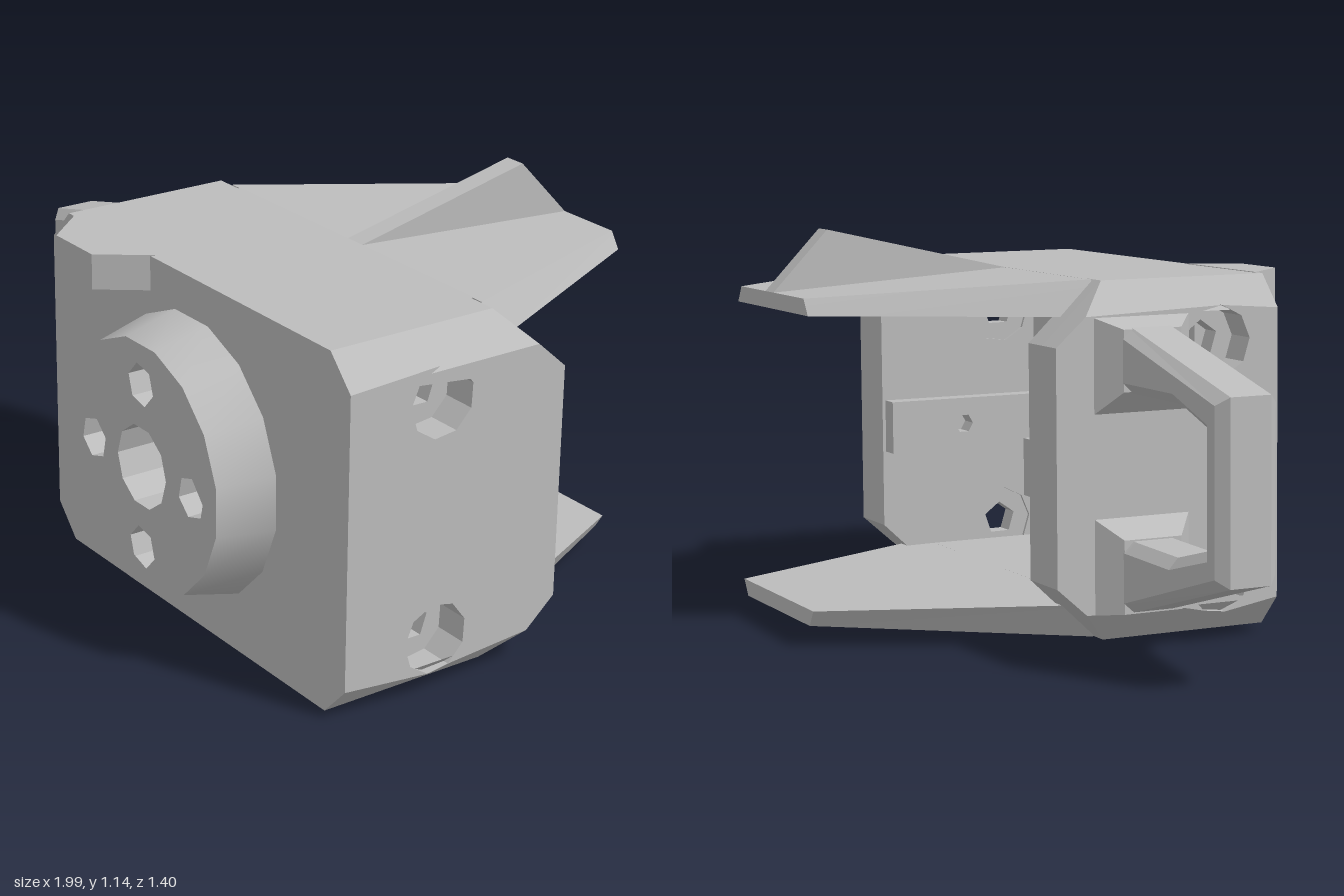
import * as THREE from 'three';
import { toCreasedNormals } from 'three/addons/utils/BufferGeometryUtils.js';

const CX = 0.29, CY = 0.519, TILT = 0.018;
// Convert upright coordinates to the slightly tilted body frame.
const local = (x, y) => [x - CX, y - CY + TILT * (x - CX)];

const shapeOf = (pts) => new THREE.Shape(pts.map(([x, y]) => new THREE.Vector2(x, y)));

function ngon(x, y, r, n, turn = 0) {
  return Array.from({ length: n }, (_, i) => {
    const a = turn + (i / n) * Math.PI * 2;
    return [x + r * Math.cos(a), y + r * Math.sin(a)];
  });
}

function extrude(pts, depth, holes = [], options = {}) {
  const shape = shapeOf(pts);
  shape.holes = holes.map(shapeOf);
  return new THREE.ExtrudeGeometry(shape, { depth, bevelEnabled: false, ...options });
}

// Move every vertex by a rule, then refresh the normals.
function reshape(geometry, rule) {
  const p = geometry.attributes.position;
  for (let i = 0; i < p.count; i++) p.setXYZ(i, ...rule(p.getX(i), p.getY(i), p.getZ(i)));
  geometry.computeVertexNormals();
  return geometry;
}

// Six-sided block; the rule receives the sign of each corner.
const block = (rule) => reshape(new THREE.BoxGeometry(2, 2, 2), rule);

export function createModel() {
  const metal = new THREE.MeshStandardMaterial({ color: 0xbcbcbc });
  metal.name = 'grey metal';
  const model = new THREE.Group();
  model.name = 'motorBracket';
  const body = new THREE.Group();
  body.name = 'body';
  body.position.set(CX, CY, 0);
  body.rotation.z = -TILT;
  model.add(body);

  const add = (name, geometry) => {
    const mesh = new THREE.Mesh(geometry, metal);
    mesh.name = name;
    body.add(mesh);
    return mesh;
  };

  // Shaft hole and four bolt holes shared by front wall and boss
  const mountHoles = () => [
    ngon(0, 0, 0.117, 10),
    ...[0, 1, 2, 3].map((i) => {
      const a = (i * Math.PI) / 2;
      return ngon(0.235 * Math.cos(a), 0.235 * Math.sin(a), 0.06, 6, a + 0.3);
    }),
  ];

  // Front wall
  add('frontWall', extrude([[-0.525, -0.5], [0.525, -0.5], [0.525, 0.5], [-0.525, 0.5]], 0.17, mountHoles()))
    .position.z = 0.37;

  // Tapered round boss
  const boss = reshape(extrude(ngon(0, 0, 0.395, 16, 0.2), 0.16, mountHoles()), (x, y, z) => {
    const s = z > 0.1 && Math.hypot(x, y) > 0.34 ? 0.9 : 1;
    return [x * s, y * s, z];
  });
  add('frontBoss', toCreasedNormals(boss, 0.6)).position.z = 0.54;

  // Side walls: chamfered outside, with two recessed bolt holes each
  for (const side of [1, -1]) {
    const label = side > 0 ? 'left' : 'right';
    const holeZ = side > 0 ? 0.25 : 0.35;
    const holes = (r, n) => [-0.34, 0.325].map((y) => ngon(-holeZ, y, r, n, 0.3));
    const outline = [[-0.54, -0.5], [-0.03, -0.5], [0.15, -0.33], [0.15, 0.33], [-0.03, 0.5], [-0.54, 0.5]];
    const wall = extrude(outline, 0.17, holes(0.1, 9), { steps: 2 });
    reshape(wall, (x, y, z) => {
      const outer = side > 0 ? z > 0.16 : z < 0.01;
      if (!outer || Math.abs(y) < 0.45) return [x, y, z];
      return [x > -0.1 ? 0.06 : x, Math.sign(y) * 0.41, z];
    });
    wall.rotateY(Math.PI / 2);
    add(label + 'SideWall', wall).position.x = side > 0 ? 0.525 : -0.695;

    // Washer-like seat at the bottom of each bolt hole
    holes(0.105, 9).forEach((ring, i) => {
      const seat = extrude(ring, 0.06, [holes(0.052, 5)[i]]);
      seat.rotateY(Math.PI / 2);
      add(label + 'BoltSeat', seat).position.x = side > 0 ? 0.535 : -0.595;
    });

    // Horizontal inner rail with a small hole
    const rail = extrude([[-0.38, -0.1], [0.14, -0.1], [0.14, 0.06], [-0.38, 0.06]], 0.06, [ngon(-0.1, -0.02, 0.03, 6)]);
    rail.rotateY(Math.PI / 2);
    add(label + 'InnerRail', rail).position.x = side > 0 ? 0.467 : -0.527;
  }

  // Top and bottom plates, each with a tapering tail
  for (const dir of [1, -1]) {
    const label = dir > 0 ? 'top' : 'bottom';
    add(label + 'Plate', new THREE.BoxGeometry(1.05, 0.1, 0.36)).position.set(0, dir * 0.45, 0.2);
    add(label + 'Tail', block((sx, sy, sz) => {
      const outer = sy * dir > 0;
      if (sz > 0) return [sx * (outer ? 0.56 : 0.615), dir * (outer ? 0.5 : 0.4), 0.025];
      return [sx * (outer ? 0.25 : 0.28), dir * (outer ? 0.456 : 0.41), -0.7];
    }));
  }

  // Triangular fin on the top tail
  const fin = extrude([[-0.02, 0.49], [0.7, 0.42], [0.7, 0.456], [0.535, 0.628], [-0.02, 0.5]], 0.065);
  fin.rotateY(Math.PI / 2);
  add('topFin', fin).position.x = -0.015;

  // Tab overhanging the front at the top
  const tab = extrude([[-0.59, -0.5], [-0.47, -0.66], [-0.29, -0.66], [-0.19, -0.5]].map(([x, z]) => [x, -z]).reverse(), 0.1);
  tab.rotateX(-Math.PI / 2);
  reshape(tab, (x, y, z) => [x, y, Math.abs(z) < 0.6 ? 0.53 : 0.665]);
  tab.rotateX(0);
  // The tab outline was laid out towards the back; its depth is set by the rule above.
  const tabFixed = extrude([[-0.59, -0.53], [-0.47, -0.665], [-0.29, -0.665], [-0.19, -0.53]], 0.1);
  tabFixed.rotateX(-Math.PI / 2);
  add('frontTab', tabFixed).position.y = 0.402;

  // Side handle: bevelled open loop
  const loop = [
    [-0.39, 0.93], [-0.998, 0.79], [-0.998, 0.295], [-0.39, 0.11], [-0.39, 0.335], [-0.48, 0.33],
    [-0.72, 0.33], [-0.9, 0.38], [-0.9, 0.69], [-0.74, 0.74], [-0.46, 0.735], [-0.39, 0.73],
  ].map(([x, y]) => local(x, y));
  add('handle', extrude(loop, 0.12, [], {
    bevelEnabled: true, bevelSegments: 1, bevelSize: 0.03, bevelThickness: 0.03, bevelOffset: -0.03,
  })).position.z = 0.05;

  // Flared handle feet: [outer low, outer high, wall low, wall high]
  for (const [a, b, c, d] of [[0.74, 0.91, 0.67, 0.94], [0.13, 0.335, 0.12, 0.39]]) {
    add('handleFoot', block((sx, sy, sz) => {
      const inner = sx > 0;
      const y = inner ? (sy > 0 ? d : c) : (sy > 0 ? b : a);
      return [...local(inner ? -0.4 : -0.47, y), 0.11 + sz * (inner ? 0.15 : 0.088)];
    }));
  }
  return model;
}
